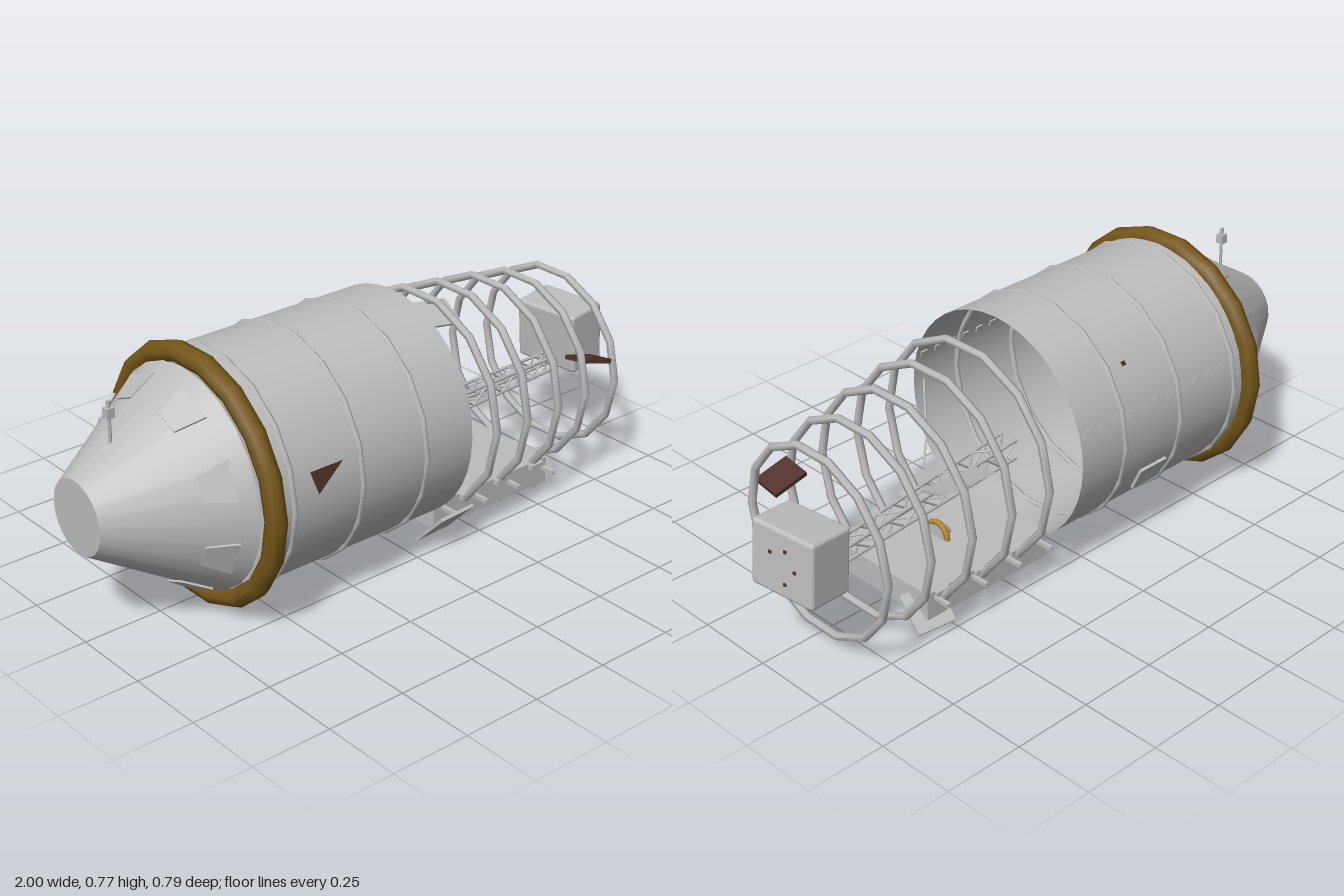
import * as THREE from 'three';
import { RoundedBoxGeometry } from 'three/addons/geometries/RoundedBoxGeometry.js';

const mat = (name, color, side = THREE.FrontSide) => {
  const m = new THREE.MeshStandardMaterial({ color, side });
  m.name = name;
  return m;
};

export function createModel() {
  const grey = mat('hull grey', 0xbdbdbd);
  const shell = mat('shell grey', 0xbdbdbd, THREE.DoubleSide);
  const bronze = mat('bronze', 0x755718);
  const rust = mat('dark rust', 0x52302a, THREE.DoubleSide);
  const gold = mat('gold', 0xb98a2c);

  const model = new THREE.Group();
  const AXIS = 0.397, R = 0.355;
  const V = (x, y, z) => new THREE.Vector3(x, y, z);

  const add = (name, geo, material, pos = [0, 0, 0], rot = [0, 0, 0], parent = model) => {
    const m = new THREE.Mesh(geo, material);
    m.name = name;
    m.position.set(...pos);
    m.rotation.set(...rot);
    parent.add(m);
    return m;
  };
  const box = (name, size, pos, rot, material = grey, parent = model) =>
    add(name, new THREE.BoxGeometry(...size), material, pos, rot, parent);
  const hoop = (name, r, tube, pos, material, sides = 6, segs = 16) =>
    add(name, new THREE.TorusGeometry(r, tube, sides, segs).rotateY(Math.PI / 2), material, pos);
  // Straight bar between two points
  const bar = (name, a, b, r, parent = model, material = grey) => {
    const m = add(name, new THREE.CylinderGeometry(r, r, a.distanceTo(b), 6), material, [0, 0, 0], [0, 0, 0], parent);
    m.position.copy(a).lerp(b, 0.5);
    m.quaternion.setFromUnitVectors(V(0, 1, 0), b.clone().sub(a).normalize());
    return m;
  };
  // Frustum lying along x, wide end towards +x
  const frustum = (rSmall, rBig, length, segs, open) =>
    new THREE.CylinderGeometry(rBig, rSmall, length, segs, 1, open).rotateZ(-Math.PI / 2);

  // Hull: open barrel, bulkhead, nose cone and collar
  add('barrel', frustum(R, R, 0.74, 40, true), shell, [-0.26, AXIS + 0.006, 0]);
  add('bulkhead', new THREE.CircleGeometry(R, 32).rotateY(Math.PI / 2), shell, [-0.62, AXIS, 0]);
  add('noseCone', frustum(0.112, 0.335, 0.36, 24, false), grey, [-0.82, AXIS + 0.005, 0]);
  hoop('collar', 0.361, 0.032, [-0.608, AXIS, 0], bronze, 8, 18);
  for (const x of [-0.54, -0.3, -0.065])
    hoop('hullBand', 0.356, 0.009, [x, AXIS + 0.004, 0], grey, 6, 18);

  // Tapered panels around the nose
  const slope = Math.atan2(0.223, 0.36);
  const panelShape = new THREE.Shape();
  panelShape.moveTo(-0.045, -0.035);
  panelShape.lineTo(0.045, -0.06);
  panelShape.lineTo(0.045, 0.06);
  panelShape.lineTo(-0.045, 0.035);
  const panelGeo = new THREE.ExtrudeGeometry(panelShape, { depth: 0.006, bevelEnabled: false })
    .rotateX(-Math.PI / 2).rotateZ(slope).translate(-0.725, 0.283, 0);
  for (let i = 0; i < 8; i++)
    add('nosePanel', panelGeo, grey, [0, AXIS + 0.005, 0], [(i + 0.5) * Math.PI / 4, 0, 0]);

  // Mast on the nose
  bar('mast', V(-0.88, 0.57, 0), V(-0.88, 0.67, 0), 0.005);
  box('mastHead', [0.024, 0.03, 0.024], [-0.88, 0.677, 0]);
  bar('mastTip', V(-0.88, 0.69, 0), V(-0.88, 0.712, 0), 0.006);

  // Rows of small windows on both flanks
  for (const s of [1, -1])
    for (let i = 0; i < 11; i++)
      box('window', [0.024, 0.02, 0.009], [-0.49 + i * 0.057, 0.5, s * 0.341], [-s * 0.29, 0, 0]);

  // Rust patch on the front flank, hatch and port on the back
  const patch = new THREE.Shape();
  patch.moveTo(-0.48, 0.035);
  patch.lineTo(-0.46, -0.035);
  patch.lineTo(-0.365, 0.035);
  add('patch', new THREE.ShapeGeometry(patch), rust, [0, 0.465, 0.354], [-0.19, 0, 0]);
  box('hatch', [0.11, 0.08, 0.009], [-0.2, 0.25, -0.328], [-0.43, 0, 0]);
  box('port', [0.014, 0.008, 0.014], [-0.13, 0.622, -0.277], [-0.89, 0, 0], rust);

  // Bare frame hoops, shrinking and drifting towards the tail
  [[0.23, 0.375, -0.005, 0.338], [0.372, 0.365, -0.012, 0.327], [0.52, 0.354, -0.02, 0.317],
    [0.665, 0.344, -0.03, 0.3], [0.812, 0.336, -0.035, 0.288]].forEach(([x, y, z, r], i) =>
    hoop('frameHoop' + (i + 1), r, 0.0125, [x, y, z], grey, 6, 14));

  // Cargo tray with side pegs, clamps and pipes beneath
  box('tray', [0.47, 0.085, 0.41], [0.34, 0.0875, -0.003]);
  for (const s of [1, -1]) {
    for (const x of [0.14, 0.265, 0.4, 0.545]) {
      box('trayPeg', [0.012, 0.012, 0.07], [x, 0.11, s * 0.23]);
      bar('trayPipe', V(x, 0.035, s * 0.08), V(x, 0.035, s * 0.19), 0.008);
    }
    for (const x of [0.232, 0.374, 0.522])
      box('hoopClamp', [0.05, 0.016, 0.03], [x, 0.122, s * 0.205]);
  }

  // Small ringed capsule half sunk in the tray
  add('capsule', frustum(0.015, 0.038, 0.05, 12, false), grey, [0.33, 0.13, 0]);
  hoop('capsuleRing', 0.042, 0.009, [0.345, 0.13, 0], gold, 6, 14);

  // Lattice boom: four chords with zigzag braces
  const boom = new THREE.Group();
  boom.name = 'boom';
  model.add(boom);
  const corners = [[1, 1], [1, -1], [-1, -1], [-1, 1]];
  const node = (t, [cy, cz]) => {
    const h = 0.03 - 0.009 * t;
    return V(0.05 + 0.81 * t, 0.306 - 0.022 * t + cy * h, 0.005 - 0.07 * t + cz * h);
  };
  const BAYS = 12;
  corners.forEach((c, k) => {
    const next = corners[(k + 1) % 4];
    bar('chord', node(0, c), node(1, c), 0.0055, boom);
    for (let i = 0; i < BAYS; i++) {
      const [p, q] = i % 2 ? [next, c] : [c, next];
      bar('brace', node(i / BAYS, p), node((i + 1) / BAYS, q), 0.0035, boom);
    }
  });

  // Equipment box at the tail with small studs on its end face
  const tail = new THREE.Group();
  tail.name = 'tailBox';
  tail.position.set(0.914, 0.37, -0.089);
  tail.rotation.set(0, 0.11, 0.08);
  model.add(tail);
  add('tailCase', new RoundedBoxGeometry(0.146, 0.202, 0.228, 2, 0.012), grey, [0, 0, 0], [0, 0, 0], tail);
  for (const [y, z] of [[0.045, -0.015], [0.025, 0.04], [-0.005, -0.05], [-0.055, -0.015]])
    box('stud', [0.006, 0.009, 0.009], [0.073, y, z], [0, 0, 0], rust, tail);

  // Loose plates drifting around the frame
  box('rustPlate', [0.112, 0.014, 0.09], [0.745, 0.413, 0.2], [-0.17, 0, -0.27], rust);
  box('upperPlate', [0.175, 0.008, 0.115], [0.49, 0.485, -0.25], [0.38, -0.2, 0]);
  box('rearPlate', [0.125, 0.009, 0.125], [0.55, 0.06, -0.178], [-0.7, -0.1, -0.1]);
  box('frontPlate', [0.13, 0.01, 0.155], [0.12, 0.079, 0.236], [-0.8, 0, 0.04]);

  // Broken bent strut
  bar('strutUpper', V(0.14, 0.46, 0.275), V(0.225, 0.34, 0.175), 0.004);
  bar('strutLower', V(0.225, 0.34, 0.175), V(0.265, 0.267, 0.145), 0.004);

  return model;
}
